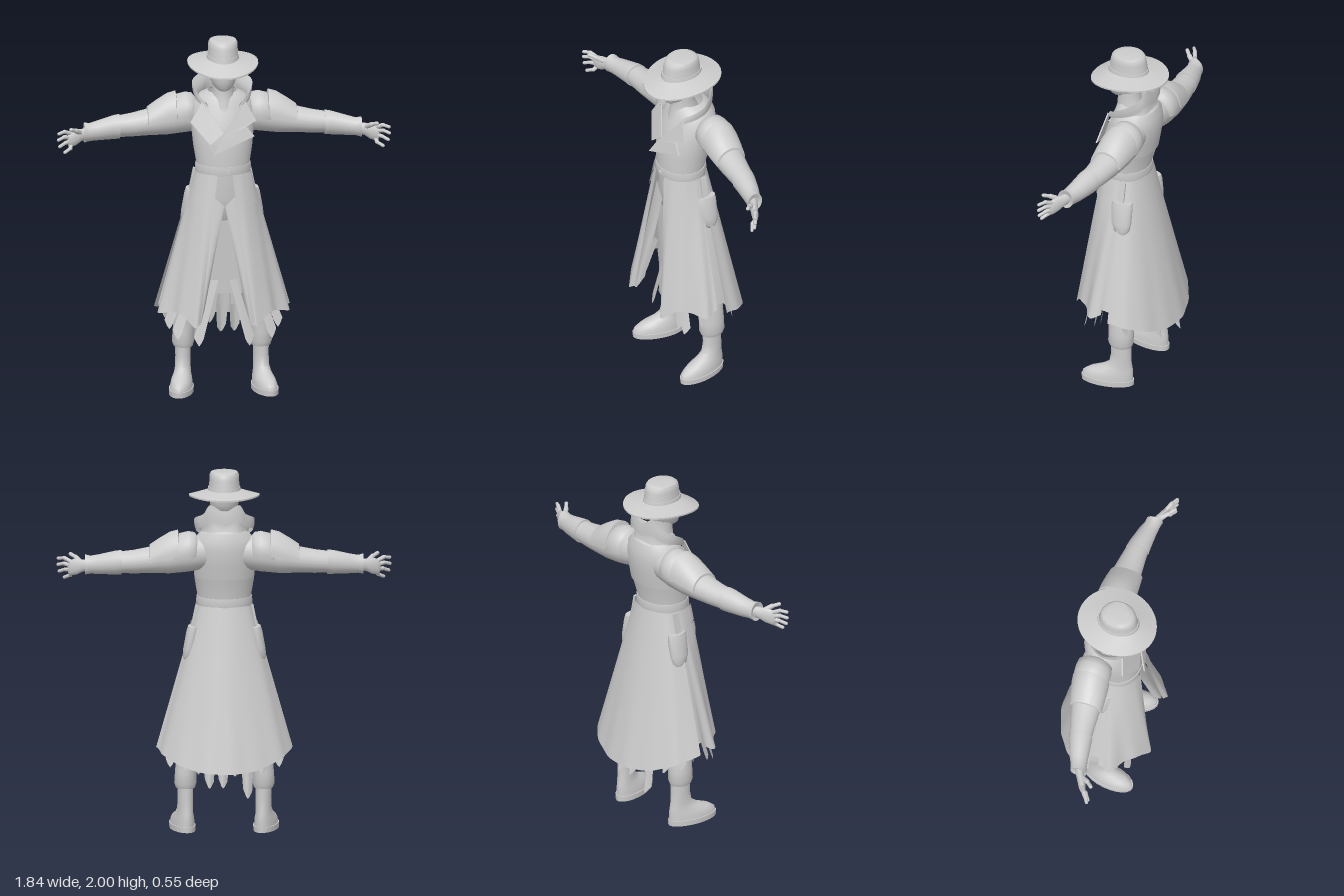
import * as THREE from 'three';
import { toCreasedNormals } from 'three/addons/utils/BufferGeometryUtils.js';

const clay = new THREE.MeshStandardMaterial({ color: 0xcccccc, side: THREE.DoubleSide });
clay.name = 'light grey';

export function createModel() {
  const root = new THREE.Group();
  root.name = 'coatedFigure';
  const V = (x, y, z) => new THREE.Vector3(x, y, z);
  const add = (name, geo, parent = root) => {
    const m = new THREE.Mesh(geo, clay);
    m.name = name;
    parent.add(m);
    return m;
  };

  // Surface from a rule f(u, v) -> Vector3, optionally closed around u
  const grid = (nu, nv, f, closed = false, crease = 0.8) => {
    const pos = [], idx = [], cols = closed ? nu : nu + 1;
    for (let j = 0; j <= nv; j++)
      for (let i = 0; i < cols; i++) pos.push(...f(i / nu, j / nv).toArray());
    for (let j = 0; j < nv; j++)
      for (let i = 0; i < nu; i++) {
        const a = j * cols + i, b = j * cols + (i + 1) % cols;
        idx.push(a, a + cols, b, b, a + cols, b + cols);
      }
    const g = new THREE.BufferGeometry();
    g.setAttribute('position', new THREE.Float32BufferAttribute(pos, 3));
    g.setIndex(idx);
    return toCreasedNormals(g, crease);
  };

  // Upright loft: sections [y, cx, cz, rx, rz]
  const loftY = (secs, n = 28, s = 1, a0 = 0, a1 = Math.PI * 2) =>
    grid(n, secs.length - 1, (u, v) => {
      const [y, cx, cz, rx, rz] = secs[Math.round(v * (secs.length - 1))];
      const a = a0 + u * (a1 - a0);
      return V(s * (cx + rx * Math.sin(a)), y, cz + rz * Math.cos(a));
    }, a1 - a0 > 6);

  // Sideways loft: sections [x, cy, cz, ry, rz]; angle 0 is straight up
  const loftX = (secs, s, n = 20, a0 = 0, a1 = Math.PI * 2) =>
    grid(n, secs.length - 1, (u, v) => {
      const [x, cy, cz, ry, rz] = secs[Math.round(v * (secs.length - 1))];
      const a = a0 + u * (a1 - a0);
      return V(s * x, cy + ry * Math.cos(a), cz + rz * Math.sin(a));
    }, a1 - a0 > 6);

  // Cloth stretched between two curves
  const curve = (pts, s = 1) => new THREE.CatmullRomCurve3(pts.map(p => V(s * p[0], p[1], p[2])));
  const cloth = (top, bottom, fold = 0, waves = 0) => (u, v) => {
    const p = top.getPoint(u).lerp(bottom.getPoint(u), v);
    const k = 1 + fold * v * v * Math.sin(u * Math.PI * 2 * waves);
    return p.set(p.x * k, p.y, p.z * k);
  };
  const sheet = (name, top, bottom, nu = 16, nv = 6, fold = 0, waves = 0) =>
    add(name, grid(nu, nv, cloth(top, bottom, fold, waves)));
  // Curve mirrored about the middle, running from -x to +x
  const half = pts => curve([...pts.slice(1).reverse().map(p => [-p[0], p[1], p[2]]), ...pts]);

  const capsule = (name, a, b, r, parent) => {
    const d = b.clone().sub(a);
    const m = add(name, new THREE.CapsuleGeometry(r, d.length(), 4, 10), parent);
    m.position.copy(a).addScaledVector(d, 0.5);
    m.quaternion.setFromUnitVectors(V(0, 1, 0), d.normalize());
  };

  // Hat
  const brim = [[0, 0.008], [0.5, 0.006], [1, 0.004], [1, -0.005], [0.5, -0.005], [0, -0.006]];
  add('hatBrim', grid(48, 5, (u, v) => {
    const [t, dy] = brim[Math.round(v * 5)], a = u * Math.PI * 2, c = Math.cos(a);
    const edge = 1.87 - 0.0225 * c - 0.0205 * c * c;
    return V((0.08 + 0.115 * t) * Math.sin(a), 1.893 + (edge - 1.893) * t + dy, 0.028 + (0.1 + 0.12 * t) * c);
  }, true));
  add('hatCrown', loftY([
    [1.88, 0, 0.035, 0.089, 0.116], [1.92, 0, 0.035, 0.084, 0.109], [1.96, 0, 0.035, 0.081, 0.103],
    [1.985, 0, 0.034, 0.08, 0.097], [1.997, 0, 0.032, 0.073, 0.084], [2.0, 0, 0.03, 0.055, 0.06], [2.0, 0, 0.03, 0, 0]], 36));
  add('hatBand', loftY([[1.885, 0, 0.035, 0.092, 0.119], [1.915, 0, 0.035, 0.088, 0.114], [1.915, 0, 0.035, 0.082, 0.107]], 36));

  // Head and neck
  add('head', loftY([
    [1.724, 0, 0.095, 0, 0], [1.727, 0, 0.095, 0.028, 0.035], [1.745, 0, 0.078, 0.052, 0.065],
    [1.78, 0, 0.058, 0.071, 0.092], [1.82, 0, 0.052, 0.079, 0.104], [1.86, 0, 0.045, 0.081, 0.105],
    [1.9, 0, 0.04, 0.078, 0.1]], 24));
  add('neck', loftY([[1.6, 0, 0.02, 0.085, 0.1], [1.67, 0, 0.02, 0.066, 0.08], [1.72, 0, 0.03, 0.058, 0.066], [1.79, 0, 0.03, 0.06, 0.07]], 20));

  // Torso, back yoke and belt
  add('coatBody', loftY([
    [1.25, 0, 0.04, 0.148, 0.128], [1.31, 0, 0.04, 0.148, 0.13], [1.4, 0, 0.026, 0.163, 0.141],
    [1.5, 0, 0.012, 0.173, 0.145], [1.58, 0, -0.008, 0.176, 0.136], [1.64, 0, -0.018, 0.16, 0.122],
    [1.68, 0, -0.02, 0.125, 0.108], [1.7, 0, -0.01, 0.08, 0.08]], 36));
  add('backYoke', loftY([
    [1.42, 0, 0.02, 0.163, 0.138], [1.42, 0, 0.02, 0.172, 0.147], [1.5, 0, 0.01, 0.18, 0.151],
    [1.58, 0, -0.009, 0.181, 0.142], [1.64, 0, -0.018, 0.165, 0.128], [1.68, 0, -0.02, 0.128, 0.113]],
  24, 1, Math.PI * 0.62, Math.PI * 1.38));
  add('belt', loftY([
    [1.255, 0, 0.04, 0.14, 0.12], [1.255, 0, 0.04, 0.152, 0.133], [1.28, 0, 0.04, 0.155, 0.136],
    [1.305, 0, 0.04, 0.152, 0.133], [1.305, 0, 0.04, 0.14, 0.12]], 36));
  add('beltBuckle', new THREE.BoxGeometry(0.025, 0.018, 0.012)).position.set(0.015, 1.278, 0.177);
  add('hips', loftY([[1.27, 0, 0.035, 0.14, 0.12], [1.12, 0, 0.03, 0.155, 0.122], [1.0, 0, 0.025, 0.15, 0.11], [0.9, 0, 0.02, 0, 0]]));

  // Standing collar, highest at its rear corners
  const collarTop = half([[0, 1.8, -0.123], [0.08, 1.838, -0.113], [0.115, 1.785, -0.088], [0.165, 1.75, -0.03], [0.15, 1.705, 0.04], [0.1, 1.66, 0.1]]);
  const collarBase = half([[0, 1.65, -0.128], [0.07, 1.65, -0.118], [0.11, 1.64, -0.09], [0.14, 1.63, -0.03], [0.135, 1.61, 0.04], [0.095, 1.59, 0.115]]);
  const collarRule = cloth(collarBase, collarTop);
  add('collar', grid(40, 6, (u, v) => {
    const p = collarRule(u, v), k = 1 - 0.14 * Math.sin(v * Math.PI);
    return p.set(p.x * k, p.y, p.z * k);
  }));
  // Folded outer edge of the collar
  add('collarFold', grid(40, 3, (u, v) => {
    const p = collarRule(u, 1 - 0.5 * v), k = 1 + 0.03 * Math.sin(v * 2.4);
    return p.set(p.x * k, p.y, p.z * k);
  }));

  // Crossed lapels standing off the chest
  const lapel = (name, pts, lift) => {
    const g = new THREE.ExtrudeGeometry(new THREE.Shape(pts.map(p => new THREE.Vector2(...p))), { depth: 0.008, bevelEnabled: false });
    const p = g.attributes.position;
    for (let i = 0; i < p.count; i++)
      p.setZ(i, p.getZ(i) + lift + 0.1 + (1.66 - p.getY(i)) * 0.34 - p.getX(i) ** 2 * 0.9);
    add(name, toCreasedNormals(g, 0.4));
  };
  lapel('rightLapel', [[-0.12, 1.66], [-0.185, 1.55], [-0.08, 1.435], [-0.005, 1.5]], 0);
  lapel('leftLapel', [[0.12, 1.66], [0.178, 1.555], [0.12, 1.53], [0.165, 1.475], [-0.065, 1.385], [-0.015, 1.48]], 0.008);

  // Back of the long coat skirt
  const arc = (y, rx, rz) => curve([0, 1, 2, 3, 4, 5, 6].map(i => {
    const a = Math.PI * i / 6;
    return [-rx * Math.cos(a), y, -rz * Math.sin(a)];
  }));
  sheet('coatBack', arc(1.26, 0.15, 0.092),
    half([[0, 0.36, -0.28], [0.17, 0.375, -0.243], [0.315, 0.43, -0.155], [0.375, 0.47, -0.03]]), 60, 12, 0.008, 7);

  // Tunic front and ragged under layers
  sheet('tunicFront', curve([[-0.07, 1.25, 0.14], [0.07, 1.25, 0.14]]), curve([[-0.1, 0.57, 0.1], [0.1, 0.57, 0.1]]), 6, 4);
  sheet('underSkirt', arc(1.1, 0.14, 0.09),
    half([[0, 0.42, -0.18], [0.1, 0.44, -0.175], [0.2, 0.46, -0.13], [0.27, 0.48, -0.04]]), 32, 6, 0.03, 6);
  [[-0.2, 0.34, -0.14], [-0.12, 0.215, -0.205], [-0.05, 0.33, -0.16], [0.015, 0.27, -0.19], [0.09, 0.27, -0.2], [0.15, 0.35, -0.16], [0.22, 0.36, -0.13]]
    .forEach(([x, y, z]) => sheet('tailRag',
      curve([[x - 0.045, 0.6, z + 0.05], [x, 0.6, z + 0.03], [x + 0.045, 0.6, z + 0.05]]),
      curve([[x - 0.03, y + 0.035, z + 0.015], [x - 0.005, y, z - 0.015], [x + 0.02, y + 0.05, z + 0.01]]), 6, 4));

  for (const s of [1, -1]) {
    const side = s > 0 ? 'left' : 'right';

    // Front skirt panel with pocket flap and lining
    const top = curve([[0.04, 1.26, 0.172], [0.095, 1.26, 0.148], [0.14, 1.26, 0.1], [0.152, 1.26, 0.04], [0.15, 1.26, 0.01]], s);
    const hem = curve([[0.14, 0.44, 0.25], [0.175, 0.42, 0.27], [0.24, 0.485, 0.205], [0.3, 0.48, 0.145], [0.36, 0.465, 0.08], [0.355, 0.5, 0.02]], s);
    sheet(side + 'CoatFront', top, hem, 36, 12, 0.02, 3);
    sheet(side + 'CoatLining', curve([[0.003, 1.08, 0.155], [0.08, 1.15, 0.145]], s),
      curve([[0.115, 0.5, 0.2], [0.15, 0.42, 0.24], [0.22, 0.48, 0.19]], s), 10, 8);
    const panel = cloth(top, hem);
    const patch = (name, u0, u1, v0, depth, lift) => add(name, grid(16, 6, (u, v) => {
      const p = panel(u0 + (u1 - u0) * u, v0 + v * depth(u));
      const n = V(p.x, 0, p.z - 0.04).normalize();
      return p.addScaledVector(n, lift);
    }));
    patch(side + 'PocketFlap', 0.2, 0.72, 0.125, u => 0.03 + 0.13 * u, 0.008);
    patch(side + 'WaistBag', 0.3, 0.6, 0.0, () => 0.115, 0.008);

    // Side under layer and side rags
    sheet(side + 'SideLayer', curve([[0.14, 1.15, 0.09], [0.15, 1.15, -0.05]], s),
      curve([[0.28, 0.47, 0.1], [0.31, 0.5, 0.02], [0.29, 0.46, -0.1]], s), 10, 6);
    [[0.26, 0.33, 0.175], [0.3, 0.37, 0.09], [0.14, 0.28, 0.14], [0.3, 0.37, -0.11]].forEach(([x, y, z]) =>
      sheet(side + 'SideRag', curve([[x - 0.11, 0.65, z * 0.8], [x - 0.07, 0.65, z * 0.75]], s),
        curve([[x - 0.025, y + 0.04, z], [x, y, z], [x + 0.025, y + 0.05, z * 0.85]], s), 4, 4));

    // Hip pouch and its strap
    add(side + 'HipPouch', loftY([
      [1.145, 0.17, -0.015, 0, 0], [1.145, 0.17, -0.015, 0.03, 0.06], [1.12, 0.174, -0.015, 0.034, 0.064],
      [1.02, 0.19, -0.016, 0.036, 0.063], [0.98, 0.198, -0.024, 0.031, 0.048], [0.955, 0.202, -0.03, 0.02, 0.025],
      [0.945, 0.202, -0.03, 0, 0]], 16, s));
    const strap = add(side + 'PouchStrap', new THREE.BoxGeometry(0.012, 0.12, 0.035));
    strap.position.set(s * 0.166, 1.2, -0.01);
    strap.rotation.z = s * 0.2;

    // Trouser leg
    add(side + 'Trouser', loftY([
      [1.15, 0.07, 0.03, 0.085, 0.11], [0.9, 0.1, 0.02, 0.088, 0.1], [0.6, 0.155, 0, 0.076, 0.085],
      [0.45, 0.195, -0.025, 0.068, 0.075], [0.33, 0.212, -0.03, 0.06, 0.072], [0.27, 0.215, -0.03, 0.061, 0.073],
      [0.245, 0.214, -0.03, 0.053, 0.064], [0.24, 0.214, -0.03, 0, 0]], 20, s));

    // Boot, toes turned out
    const boot = new THREE.Group();
    boot.name = side + 'Boot';
    boot.position.set(s * 0.215, 0, -0.03);
    boot.rotation.y = s * 0.2;
    root.add(boot);
    add('bootUpper', loftY([
      [0.27, 0, 0, 0.043, 0.058], [0.19, 0, -0.002, 0.042, 0.057], [0.13, 0, 0.003, 0.043, 0.064],
      [0.1, 0, 0.023, 0.046, 0.09], [0.075, 0, 0.055, 0.055, 0.125], [0.05, 0, 0.073, 0.06, 0.143],
      [0.025, 0, 0.075, 0.062, 0.145]], 24), boot);
    add('bootSole', loftY([
      [0.03, 0, 0.075, 0.055, 0.135], [0.03, 0, 0.075, 0.067, 0.15], [0, 0, 0.075, 0.066, 0.149], [0, 0, 0.075, 0, 0]], 24), boot);

    // Sleeve and forearm cuff
    add(side + 'Sleeve', loftX([
      [0.1, 1.56, -0.045, 0.09, 0.08], [0.2, 1.555, -0.05, 0.1, 0.088], [0.3, 1.535, -0.045, 0.09, 0.086],
      [0.42, 1.517, -0.035, 0.072, 0.08], [0.5, 1.507, -0.027, 0.065, 0.07], [0.6, 1.5, -0.015, 0.058, 0.058]], s));
    add(side + 'Cuff', loftX([
      [0.565, 1.502, -0.018, 0.055, 0.055], [0.565, 1.502, -0.018, 0.068, 0.066], [0.6, 1.499, -0.013, 0.066, 0.063],
      [0.69, 1.487, 0.005, 0.055, 0.052], [0.735, 1.482, 0.018, 0.05, 0.045], [0.765, 1.482, 0.025, 0.057, 0.046],
      [0.762, 1.48, 0.025, 0.04, 0.035], [0.74, 1.478, 0.02, 0, 0]], s));

    // Layered shoulder plates
    add(side + 'ShoulderPlate', loftX([
      [0.15, 1.57, -0.05, 0.085, 0.075], [0.165, 1.572, -0.05, 0.102, 0.095], [0.2, 1.568, -0.05, 0.112, 0.101],
      [0.25, 1.56, -0.05, 0.108, 0.1], [0.275, 1.555, -0.05, 0.09, 0.085]], s, 20, -1.8, 1.8));
    add(side + 'UpperArmPlate', loftX([
      [0.25, 1.555, -0.048, 0.105, 0.09], [0.255, 1.56, -0.048, 0.128, 0.104], [0.3, 1.55, -0.045, 0.126, 0.103],
      [0.36, 1.535, -0.04, 0.104, 0.097], [0.41, 1.52, -0.035, 0.084, 0.09], [0.412, 1.52, -0.035, 0.07, 0.078]], s, 20, -1.6, 1.6));

    // Hand with spread fingers
    const hand = new THREE.Group();
    hand.name = side + 'Hand';
    root.add(hand);
    add('palm', loftX([
      [0.74, 1.478, 0.022, 0.032, 0.026], [0.78, 1.472, 0.04, 0.035, 0.025], [0.81, 1.464, 0.055, 0.045, 0.023],
      [0.845, 1.456, 0.07, 0.044, 0.019], [0.857, 1.455, 0.074, 0.032, 0.012], [0.86, 1.455, 0.075, 0, 0]], s, 14), hand);
    [[1.488, 1.506, 1.5, 0.91], [1.467, 1.475, 1.465, 0.912], [1.446, 1.442, 1.428, 0.905], [1.427, 1.41, 1.394, 0.877]]
      .forEach(([y0, y1, y2, x], i) => {
        const mid = V(s * (x - 0.032), y1, 0.09);
        capsule('finger' + i, V(s * 0.84, y0, 0.068), mid, 0.0115, hand);
        capsule('fingerTip' + i, mid, V(s * x, y2, 0.112), 0.0095, hand);
      });
    capsule('thumb', V(s * 0.79, 1.49, 0.055), V(s * 0.815, 1.51, 0.09), 0.014, hand);
    capsule('thumbTip', V(s * 0.815, 1.51, 0.09), V(s * 0.843, 1.523, 0.118), 0.011, hand);
  }
  return root;
}
